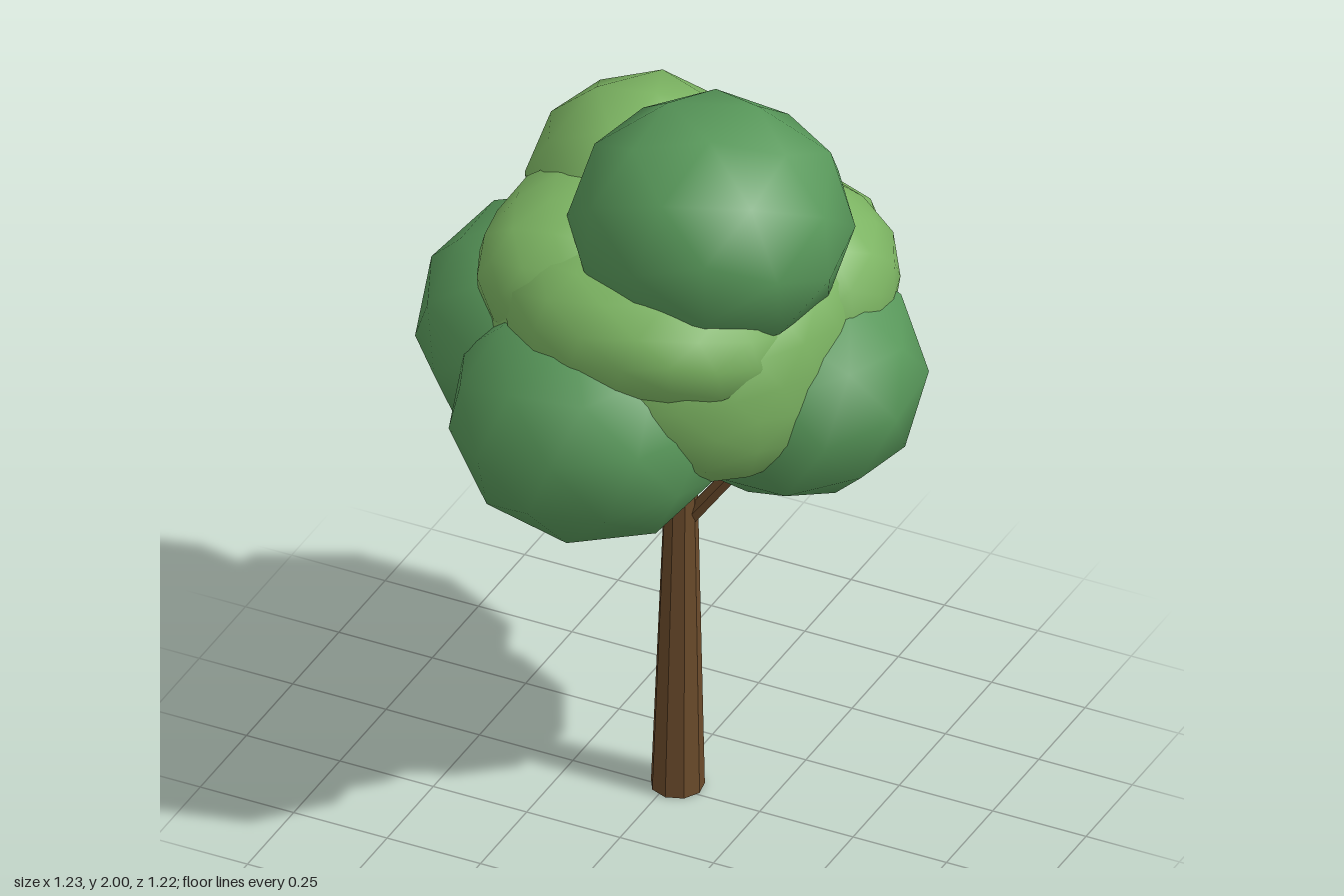
import * as THREE from 'three';
import { mergeVertices } from 'three/addons/utils/BufferGeometryUtils.js';

const flat = (name, color) => {
  const m = new THREE.MeshStandardMaterial({ color });
  m.name = name;
  return m;
};

// Coarse ball with smooth normals, turned, stretched, and made boxy and lumpy by a rule
function clumpGeometry(radii, detail, turn, lump, boxy) {
  let g = new THREE.IcosahedronGeometry(1, detail);
  g.deleteAttribute('uv');
  g.deleteAttribute('normal');
  g = mergeVertices(g, 1e-4);
  g.rotateX(turn * 0.7);
  g.rotateY(turn);
  const p = g.attributes.position;
  const v = new THREE.Vector3();
  for (let i = 0; i < p.count; i++) {
    v.fromBufferAttribute(p, i);
    const wave = Math.sin(5 * v.x + turn) * Math.sin(5 * v.y + 2 * turn) + Math.sin(5 * v.z + 3 * turn) * 0.6;
    const corner = 1 - (v.x ** 4 + v.y ** 4 + v.z ** 4);
    v.multiplyScalar(1 + lump * wave + boxy * corner);
    p.setXYZ(i, v.x * radii[0], v.y * radii[1], v.z * radii[2]);
  }
  g.computeVertexNormals();
  return g;
}

// Tapered faceted limb between two points
function limb(name, from, to, r0, r1, sides, material) {
  const a = new THREE.Vector3(...from);
  const dir = new THREE.Vector3(...to).sub(a);
  const g = new THREE.CylinderGeometry(r1, r0, dir.length(), sides).toNonIndexed();
  g.computeVertexNormals();
  const mesh = new THREE.Mesh(g, material);
  mesh.name = name;
  mesh.position.copy(a).addScaledVector(dir, 0.5);
  mesh.quaternion.setFromUnitVectors(new THREE.Vector3(0, 1, 0), dir.normalize());
  return mesh;
}

export function createModel() {
  const tree = new THREE.Group();
  tree.name = 'tree';
  const bark = flat('bark brown', 0x6b4b2b);
  const dark = flat('dark leaf green', 0x58985a);
  const light = flat('light leaf green', 0x7cb462);

  // Trunk and branches
  tree.add(
    limb('trunk', [0.02, 0, -0.02], [0.033, 0.98, -0.015], 0.066, 0.037, 9, bark),
    limb('leftBranch', [0.04, 0.76, -0.02], [0.27, 1.08, -0.04], 0.022, 0.019, 6, bark),
    limb('backBranch', [0.03, 0.76, -0.02], [0.0, 1.1, -0.22], 0.022, 0.019, 6, bark),
    limb('rightBranch', [0.03, 0.84, -0.01], [-0.09, 1.06, 0.06], 0.022, 0.018, 6, bark)
  );

  // Leaf clumps: name, material, centre, radii, detail, turn, lumpiness, boxiness
  const clumps = [
    ['crownTop', dark, [0.15, 1.705, 0.06], [0.345, 0.3, 0.335], 1, 0.4, 0, 0.04],
    ['frontClump', dark, [-0.06, 1.225, 0.28], [0.345, 0.305, 0.335], 1, 1.1, 0, 0.04],
    ['rightClump', dark, [-0.28, 1.275, 0.03], [0.34, 0.3, 0.335], 1, 2.0, 0, 0.04],
    ['leftClump', dark, [0.28, 1.225, -0.09], [0.34, 0.305, 0.325], 1, 2.9, 0, 0.04],
    ['backClump', light, [0.11, 1.31, -0.3], [0.335, 0.295, 0.32], 1, 0.8, 0, 0.04],
    ['upperBackClump', light, [-0.15, 1.56, -0.19], [0.29, 0.285, 0.29], 1, 1.6, 0, 0.04],
    ['upperLeftClump', light, [0.23, 1.43, -0.17], [0.28, 0.25, 0.28], 2, 2.3, 0.02, 0.06],
    ['crownCore', light, [0.035, 1.36, 0.01], [0.44, 0.34, 0.43], 3, 0.9, 0.025, 0.16],
    ['frontShelf', light, [0.05, 1.49, 0.18], [0.36, 0.19, 0.29], 2, 0.5, 0.02, 0.12],
    ['upperRightClump', light, [-0.16, 1.5, 0.07], [0.27, 0.22, 0.3], 2, 1.3, 0.03, 0.08]
  ];
  for (const [name, material, centre, radii, ...shape] of clumps) {
    const mesh = new THREE.Mesh(clumpGeometry(radii, ...shape), material);
    mesh.name = name;
    mesh.position.set(...centre);
    tree.add(mesh);
  }
  return tree;
}
